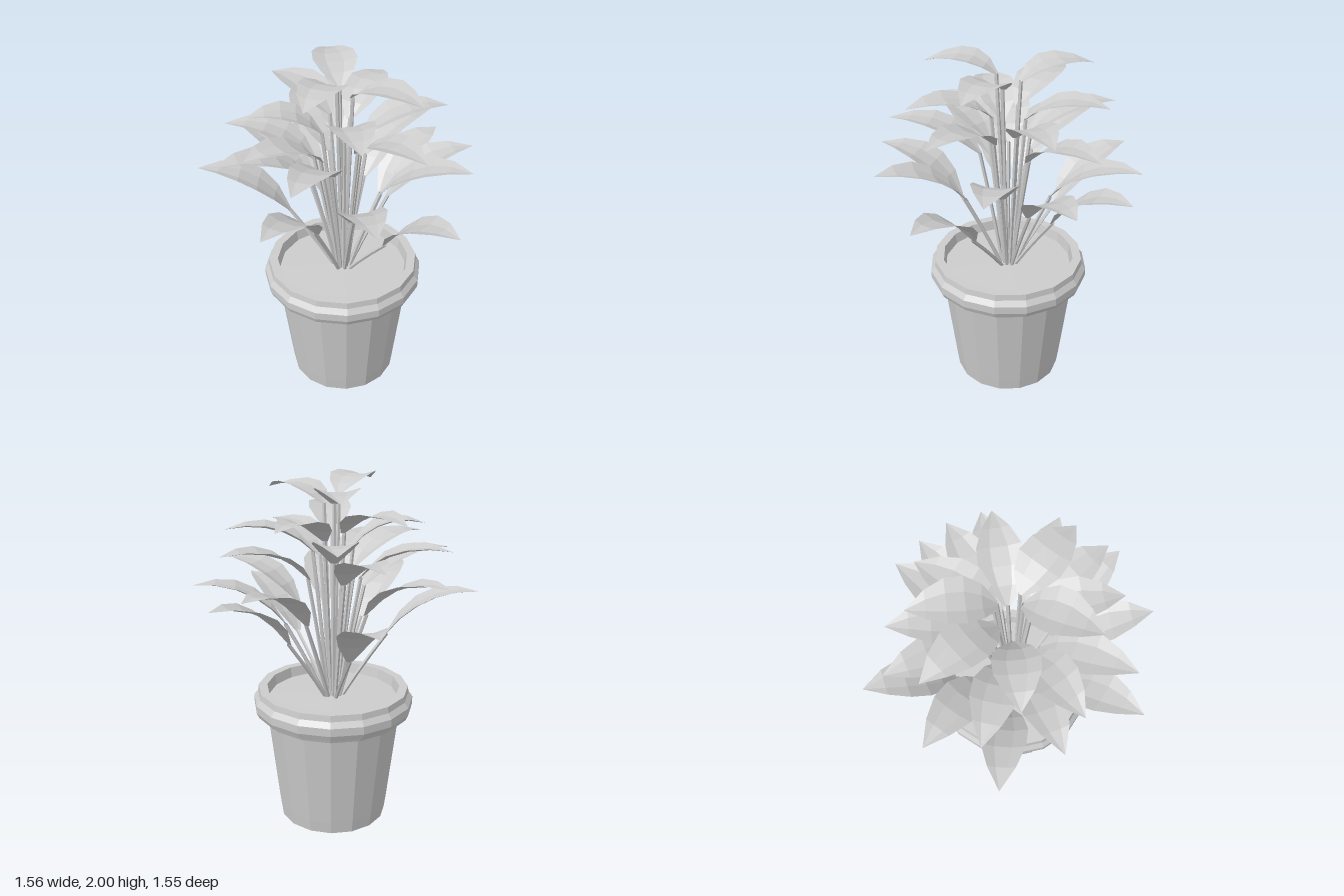
import * as THREE from 'three';

const CX = -0.01, CZ = -0.045; // pot axis offset

// Leaf tips: x, height, z
const TIPS = [
  [0.775, 1.38, 0.025], [-0.055, 1.33, 0.775], [-0.78, 1.40, 0.125], [-0.12, 1.49, -0.78],
  [0.725, 1.46, -0.185], [0.37, 1.34, -0.77], [-0.52, 1.39, -0.66], [-0.45, 1.45, 0.57],
  [0.27, 1.50, 0.62], [0.635, 1.43, 0.375], [-0.65, 1.57, -0.34], [0.63, 1.62, 0.125],
  [0.25, 1.61, -0.68], [-0.35, 1.62, -0.60], [-0.09, 1.69, 0.58], [-0.61, 1.65, -0.16],
  [-0.64, 1.61, 0.20], [0.40, 1.69, -0.51], [0.03, 1.80, -0.61], [0.515, 1.77, -0.19],
  [0.465, 1.72, 0.30], [0.30, 1.91, -0.43], [-0.39, 1.74, -0.37], [-0.355, 1.78, 0.39],
  [-0.45, 1.94, 0.11], [0.035, 1.90, 0.45],
];

// Leaf blade: shallow cupped cross-sections swept along an arching midrib in the local x-y plane
function leafGeometry(curve) {
  const widths = [0.15, 0.72, 1, 0.95, 0.6, 0];
  const across = [-1, -0.4, 0.4, 1];
  const lift = [0.02, 0, 0, 0.02];
  const pos = [], idx = [];
  const n = widths.length, m = across.length;
  widths.forEach((w, i) => {
    const t = i / (n - 1);
    const p = curve.getPoint(t), d = curve.getTangent(t);
    across.forEach((a, j) => {
      const h = lift[j] * w;
      pos.push(p.x - d.y * h, p.y + d.x * h, a * w * 0.12);
    });
  });
  for (let i = 0; i < n - 1; i++) {
    for (let j = 0; j < m - 1; j++) {
      const a = i * m + j, b = a + 1, c = a + m, d = c + 1;
      idx.push(a, b, c);
      if (i < n - 2) idx.push(b, d, c); // last row closes to a point
    }
  }
  const g = new THREE.BufferGeometry();
  g.setAttribute('position', new THREE.Float32BufferAttribute(pos, 3));
  g.setIndex(idx);
  g.computeVertexNormals();
  return g;
}

export function createModel() {
  const model = new THREE.Group();
  model.name = 'pottedPlant';
  const grey = new THREE.MeshStandardMaterial({
    color: 0xcccccc, flatShading: true, side: THREE.DoubleSide,
  });
  grey.name = 'lightGrey';

  const add = (parent, name, geometry) => {
    const mesh = new THREE.Mesh(geometry, grey);
    mesh.name = name;
    parent.add(mesh);
  };
  const lathe = (pts) => new THREE.LatheGeometry(pts.map(([r, y]) => new THREE.Vector2(r, y)), 16);

  // Pot with tapered body and stepped rim
  const pot = new THREE.Group();
  pot.name = 'pot';
  pot.position.set(CX, 0, CZ);
  model.add(pot);
  add(pot, 'potBody', lathe([[0, 0], [0.315, 0], [0.325, 0.075], [0.388, 0.63]]));
  add(pot, 'potRim', lathe([
    [0.385, 0.625], [0.415, 0.63], [0.425, 0.655], [0.45, 0.66], [0.463, 0.69], [0.463, 0.735],
    [0.44, 0.765], [0.435, 0.8], [0.385, 0.8], [0.37, 0.72],
  ]));
  add(pot, 'soil', lathe([[0.378, 0.74], [0, 0.745]]));

  // Leaves, each on a slim stalk, turned toward its tip
  const plant = new THREE.Group();
  plant.name = 'plant';
  plant.position.set(CX, 0, CZ);
  model.add(plant);
  TIPS.forEach(([x, y, z]) => {
    const r = Math.hypot(x - CX, z - CZ);
    const t = THREE.MathUtils.clamp((y - 1.35) / 0.6, 0, 1); // 0 low and wide, 1 high and upright
    const baseR = Math.max(0.06, 0.33 - 0.5 * t + 0.23 * t * t);
    const baseY = y - 0.24 * (1 - t) - 0.04;
    const shoot = new THREE.Group();
    shoot.name = 'shoot';
    shoot.rotation.y = -Math.atan2(z - CZ, x - CX);
    plant.add(shoot);

    const midrib = new THREE.QuadraticBezierCurve3(
      new THREE.Vector3(baseR, baseY, 0),
      new THREE.Vector3(baseR + (r - baseR) * 0.38, y + 0.02 + 0.08 * t, 0),
      new THREE.Vector3(r, y, 0),
    );
    add(shoot, 'leaf', leafGeometry(midrib));

    const footR = 0.015 + 0.035 * (1 - t);
    const stalk = new THREE.QuadraticBezierCurve3(
      new THREE.Vector3(footR, 0.73, 0),
      new THREE.Vector3(footR + (baseR - footR) * 0.45, 0.73 + (baseY - 0.73) * 0.5, 0),
      new THREE.Vector3(baseR + 0.005, baseY + 0.005, 0),
    );
    add(shoot, 'stalk', new THREE.TubeGeometry(stalk, 3, 0.011, 5));
  });
  return model;
}
